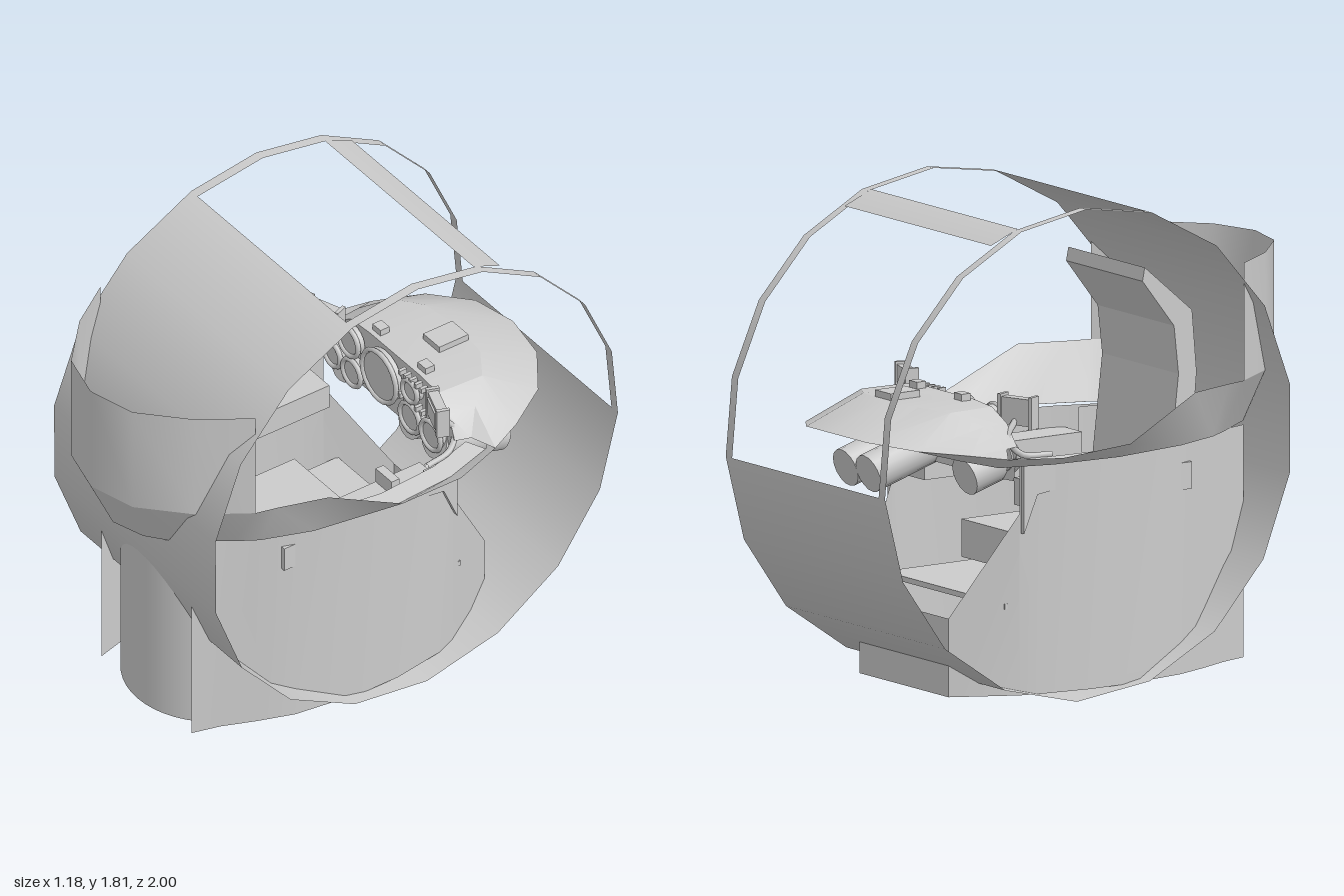
import * as THREE from 'three';
import { toCreasedNormals } from 'three/addons/utils/BufferGeometryUtils.js';

const mat = new THREE.MeshStandardMaterial({ color: 0xcccccc, side: THREE.DoubleSide });

export function createModel() {
  const model = new THREE.Group();
  const add = (name, geo, x = 0, y = 0, z = 0, rx = 0, ry = 0) => {
    const m = new THREE.Mesh(geo, mat);
    m.name = name;
    m.position.set(x, y, z);
    m.rotation.set(rx, ry, 0);
    model.add(m);
    return m;
  };
  const box = (name, w, h, d, x, y, z, rx = 0, ry = 0) =>
    add(name, new THREE.BoxGeometry(w, h, d), x, y, z, rx, ry);

  // Skin between rows of points that all have the same length
  const loft = (name, rows, crease = 0.6) => {
    const pos = [], idx = [], n = rows[0].length;
    rows.forEach((r) => r.forEach((p) => pos.push(...p)));
    for (let i = 0; i < rows.length - 1; i++)
      for (let j = 0; j < n - 1; j++) {
        const a = i * n + j;
        idx.push(a, a + 1, a + n, a + 1, a + n + 1, a + n);
      }
    const g = new THREE.BufferGeometry();
    g.setAttribute('position', new THREE.Float32BufferAttribute(pos, 3));
    g.setIndex(idx);
    return add(name, toCreasedNormals(g, crease));
  };
  // Half outline starting on the centre line -> full outline
  const mirror = (half) => [...half.slice(1).reverse().map(([x, y, z]) => [-x, y, z]), ...half];

  // Side profile given as [z, y], extruded across x
  const sidePlate = (name, pts, width, x = 0) => {
    const shape = new THREE.Shape(pts.map(([z, y]) => new THREE.Vector2(-z, y)));
    const g = new THREE.ExtrudeGeometry(shape, { depth: width, bevelEnabled: false });
    g.translate(0, 0, -width / 2).rotateY(Math.PI / 2);
    return add(name, g, x);
  };

  // Open drum around the x axis; angles in degrees from the front, going up
  const arc = (name, width, x, from, to, segs) => {
    const rad = Math.PI / 180;
    const g = new THREE.CylinderGeometry(0.908, 0.908, width, segs, 1, true, from * rad, (to - from) * rad);
    add(name, g.rotateZ(Math.PI / 2), x, 0.908, -0.092);
  };
  arc('drumShell', 1, 0, 184, 432, 12);
  for (const s of [-1, 1]) arc('windowFrame', 0.04, s * 0.48, 72, 184, 6);
  arc('windowCrossbar', 0.92, 0, 108.5, 116.6, 1);

  // Lower side walls and flat rear wall: [x, z, top]
  const wall = [[0, -0.56, 0.32], [0.28, -0.56, 0.32], [0.4, -0.33, 0.7], [0.4, -0.33, 0.89],
    [0.42, -0.25, 0.89], [0.45, -0.05, 0.89], [0.45, 0.1, 0.89], [0.41, 0.38, 0.89],
    [0.36, 0.52, 0.89], [0.31, 0.64, 0.89], [0.28, 0.75, 0.89]];
  loft('lowerWall', [mirror(wall.map(([x, z]) => [x, 0.03, z])), mirror(wall.map(([x, z, t]) => [x, t, z]))]);

  // Rounded front column between the walls
  add('frontColumn', new THREE.CylinderGeometry(0.336, 0.336, 0.86, 24, 1, true, -Math.PI / 2, Math.PI), 0, 0.46, 0.453);

  // Flared cockpit rim, from nose to tail
  const low = [[0, 0.89, 0.9], [0.13, 0.89, 0.86], [0.22, 0.89, 0.79], [0.35, 0.89, 0.61], [0.4, 0.89, 0.53],
    [0.47, 0.89, 0.34], [0.52, 0.89, 0.03], [0.5, 0.89, -0.25], [0.44, 0.89, -0.45],
    [0.33, 0.91, -0.55], [0.2, 0.93, -0.62], [0.1, 0.94, -0.65], [0, 0.94, -0.66]];
  const high = [[0, 1.1, 1], [0.19, 1.1, 0.95], [0.36, 1.1, 0.79], [0.48, 1.1, 0.61], [0.5, 1.1, 0.53],
    [0.56, 1.1, 0.34], [0.59, 0.95, 0.03], [0.565, 0.925, -0.25], [0.5, 0.93, -0.45],
    [0.45, 0.95, -0.58], [0.35, 0.97, -0.75], [0.19, 0.99, -0.86], [0, 1, -0.89]];
  loft('cockpitRim', [mirror(low), mirror(high)]);

  // Upright scoop on the front of the rim
  const scoop = mirror(high.slice(0, 4));
  loft('frontScoop', [scoop, scoop.map(([x, , z]) => [x, 1.535, z])], 0.8);

  // Flat sill inside the rim
  const sill = low.slice(0, 9);
  loft('sill', [mirror(sill), mirror(sill.map(([x, , z]) => [x * 0.86, 0.905, z * 0.9]))]);

  // Instrument cowl: tail edge, crown, pilot-side edge
  const tail = high.slice(8).reverse();
  const crown = [[0, 1.09, -0.64], [0.17, 1.09, -0.62], [0.28, 1.08, -0.55], [0.36, 1.03, -0.46], [0.42, 0.95, -0.4]];
  const edge = [[0, 1.09, -0.36], [0.15, 1.09, -0.36], [0.27, 1.08, -0.36], [0.35, 1.03, -0.35], [0.4, 0.95, -0.34]];
  loft('instrumentCowl', [mirror(tail), mirror(crown), mirror(edge)], 0.4);
  loft('instrumentPanel', [mirror(edge), mirror(edge.map(([x, , z]) => [x * 0.95, 0.82, z]))]);
  box('cowlBlock', 0.1, 0.03, 0.13, 0.04, 1.1, -0.56);

  // Dials with raised bezels: [x, y, radius]
  for (const [x, y, r] of [[-0.04, 0.98, 0.105], [0.15, 0.91, 0.06], [0.28, 0.91, 0.06], [0.15, 1.03, 0.045],
    [-0.23, 1.02, 0.06], [-0.21, 0.89, 0.055], [-0.33, 0.9, 0.05]]) {
    add('dialFace', new THREE.CylinderGeometry(r, r, 0.03, 20).rotateX(Math.PI / 2), x, y, -0.335);
    add('dialBezel', new THREE.TorusGeometry(r, 0.01, 6, 20), x, y, -0.32);
  }
  // Switch rows between the dials
  for (let i = 0; i < 5; i++)
    for (let j = 0; j < 2; j++) box('switch', 0.014, 0.02, 0.03, 0.09 + i * 0.033, 0.975 + j * 0.105, -0.33);

  // Small screens on arms, and clutter on the cowl edge
  for (const s of [-1, 1]) {
    box('screenCase', 0.13, 0.1, 0.04, s * 0.35, 1.07, -0.3, 0, -s * 0.35);
    box('screenGlass', 0.1, 0.07, 0.01, s * 0.343, 1.07, -0.279, 0, -s * 0.35);
    for (const e of [-1, 1]) box('screenButtons', 0.015, 0.12, 0.05, s * 0.35 + e * 0.064, 1.07, -0.3 + s * e * 0.023, 0, -s * 0.35);
    const arm = new THREE.CatmullRomCurve3([[0.35, 1.04, -0.31], [0.37, 0.98, -0.36], [0.4, 0.92, -0.32], [0.42, 0.91, -0.2]]
      .map(([x, y, z]) => new THREE.Vector3(s * x, y, z)));
    add('screenArm', new THREE.TubeGeometry(arm, 12, 0.012, 6));
    box('cowlKnob', 0.05, 0.03, 0.04, s * 0.14, 1.1, -0.4);
    // Hanging bracket below the rim
    sidePlate('bracket', [[-0.19, 0.89], [-0.19, 0.78], [-0.27, 0.77], [-0.33, 0.63], [-0.33, 0.89]], 0.02, s * 0.42);
    // Side console
    box('sideConsole', 0.13, 0.1, 0.7, s * 0.345, 0.76, 0.08);
  }

  // Canisters behind the panel: [x, length]
  for (const [x, len] of [[0.28, 0.3], [0.137, 0.3], [-0.28, 0.16]]) {
    const g = new THREE.CylinderGeometry(0.073, 0.073, len, 16).rotateX(Math.PI / 2).translate(0, 0, -len / 2);
    add('canister', g, x, 0.885, -0.335, -0.3);
  }

  // Seat, floor and throttle
  sidePlate('seatBack', [[0.57, 1.1], [0.55, 1.33], [0.34, 1.51], [0.33, 1.46], [0.47, 1.28], [0.49, 1.1], [0.42, 0.5], [0.52, 0.5]], 0.48);
  box('seatCushion', 0.55, 0.14, 0.55, 0, 0.48, 0.165);
  box('floor', 0.76, 0.02, 0.8, 0, 0.36, 0.02);
  box('throttle', 0.1, 0.06, 0.035, 0.33, 0.84, -0.09);
  return model;
}
